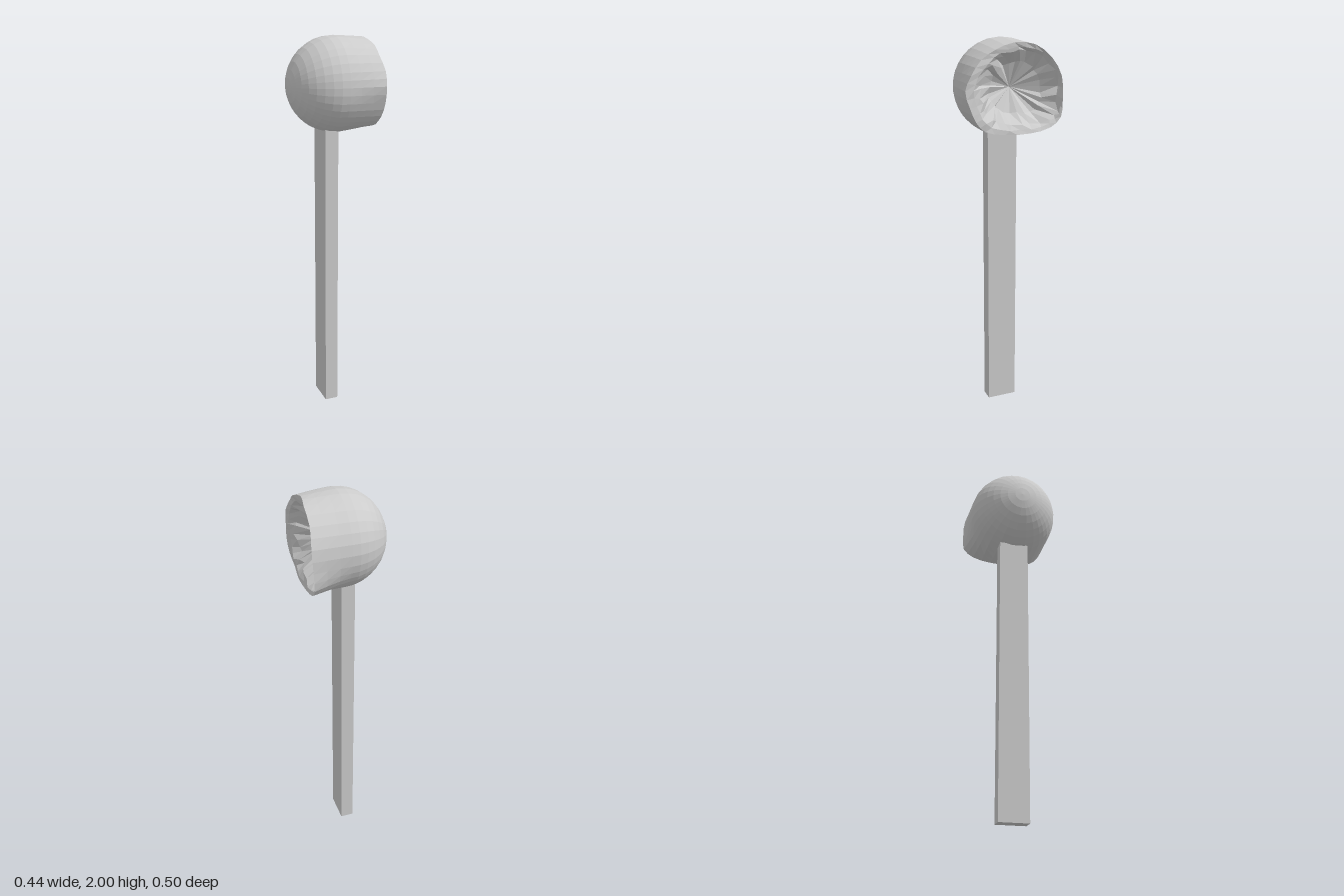
import * as THREE from 'three';

const CY = 1.76, R = 0.24, CX = 0.02, N = 32;

export function createModel() {
  const group = new THREE.Group();
  const mat = new THREE.MeshStandardMaterial({ color: 0xcccccc, flatShading: true, side: THREE.DoubleSide });

  // rectangular post
  const post = new THREE.Mesh(new THREE.BoxGeometry(0.07, 1.54, 0.158), mat);
  post.name = 'post';
  post.position.set(-0.013, 0.77, -0.006);
  group.add(post);

  // ragged edge of the broken side, as x, y, z
  const rim = new THREE.CatmullRomCurve3([
    [0.19, 1.985, 0], [0.20, 1.955, 0.1], [0.195, 1.91, 0.17], [0.205, 1.84, 0.225],
    [0.20, 1.77, 0.253], [0.205, 1.69, 0.232], [0.20, 1.62, 0.2], [0.19, 1.57, 0.15],
    [0.20, 1.55, 0.05], [0.20, 1.548, -0.08], [0.20, 1.57, -0.19], [0.205, 1.62, -0.245],
    [0.21, 1.71, -0.25], [0.215, 1.82, -0.24], [0.205, 1.91, -0.19], [0.205, 1.975, -0.1],
  ].map(p => new THREE.Vector3(...p)), true);

  let seed = 7;
  const rand = () => (seed = (seed * 16807) % 2147483647) / 2147483647 - 0.5;
  const edge = Array.from({ length: N }, (_, i) => rim.getPoint(i / N));
  const around = edge.map(p => new THREE.Vector2(p.y - CY, p.z).normalize());
  const rings = [];

  // round closed half
  for (let k = 0; k <= 9; k++) {
    const a = k / 9 * Math.PI / 2;
    rings.push(around.map(d => new THREE.Vector3(
      CX - R * Math.cos(a), CY + d.x * R * Math.sin(a), d.y * R * Math.sin(a))));
  }
  // outer wall blending into the ragged edge
  const equator = rings[9];
  for (const t of [0.3, 0.65, 1]) {
    rings.push(edge.map((p, i) => {
      const v = equator[i].clone().lerp(p, Math.pow(t, 1.3));
      v.x = CX + (p.x - CX) * t;
      return v;
    }));
  }
  // thick lip and crumpled hollow narrowing to a point
  const hollow = (s, x, dz, rough) => edge.map(p => new THREE.Vector3(
    x + rand() * rough, CY + (p.y - CY) * s + rand() * rough * 0.5, p.z * s + dz + rand() * rough * 0.5));
  rings.push(hollow(0.9, 0.195, -0.018, 0.015));
  rings.push(hollow(0.82, 0.17, -0.035, 0.035));
  rings.push(hollow(0.55, 0.115, -0.035, 0.03));
  rings.push(hollow(0, 0.05, -0.03, 0));

  const pos = [], idx = [];
  rings.forEach(r => r.forEach(p => pos.push(p.x, p.y, p.z)));
  for (let k = 0; k < rings.length - 1; k++) {
    for (let i = 0; i < N; i++) {
      const j = (i + 1) % N, a = k * N + i, b = k * N + j, c = a + N, d = b + N;
      if (k > 0) idx.push(a, b, c);
      if (k < rings.length - 2) idx.push(b, d, c);
      else continue;
    }
  }
  const geo = new THREE.BufferGeometry();
  geo.setAttribute('position', new THREE.Float32BufferAttribute(pos, 3));
  geo.setIndex(idx);
  geo.computeVertexNormals();
  const head = new THREE.Mesh(geo, mat);
  head.name = 'brokenHollowHead';
  group.add(head);
  return group;
}
